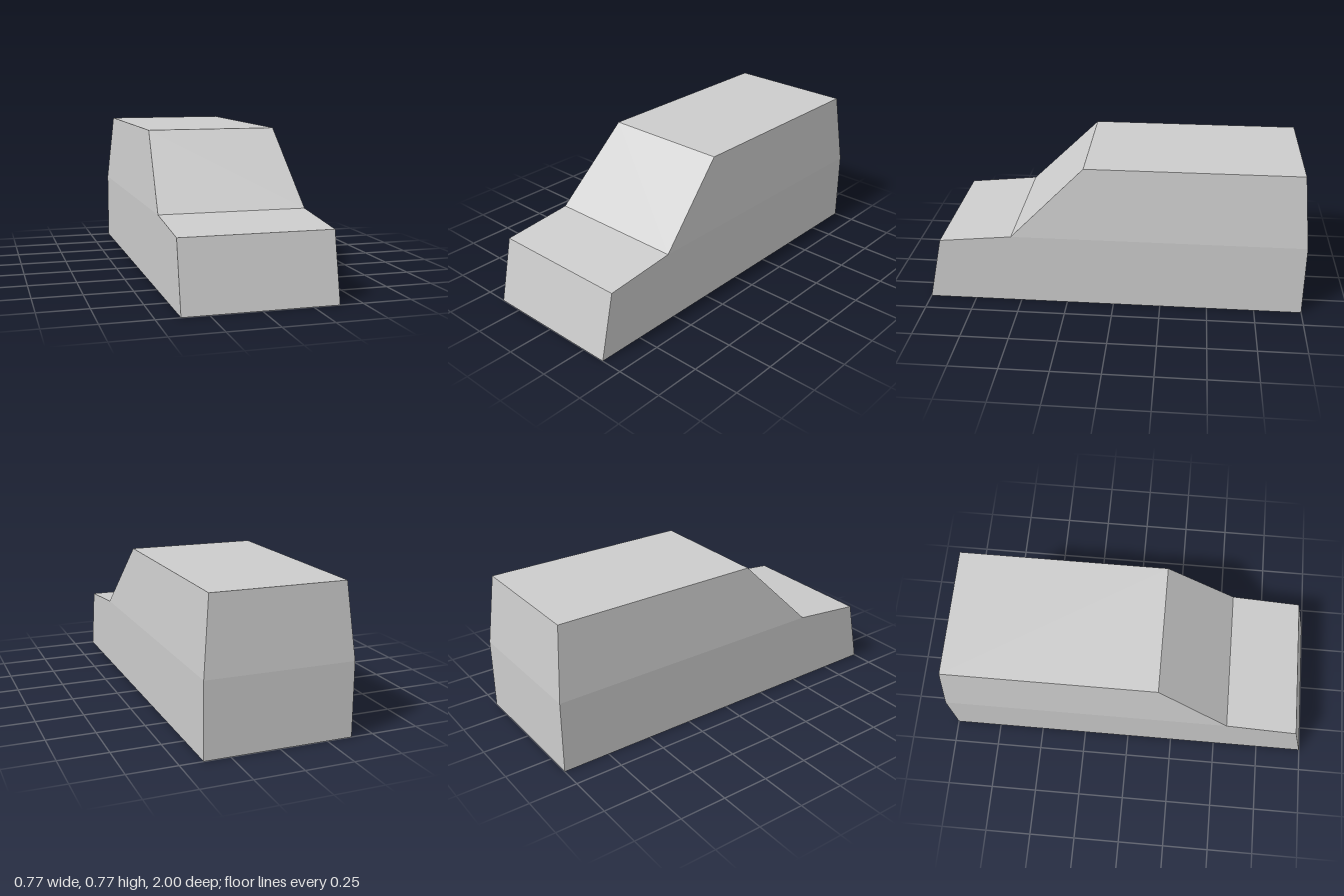
import * as THREE from 'three';

// Side profile, front bottom to rear bottom: [z, y, half width]
const PROFILE = [
  [1, 0, 0.383], [0.923, 0.346, 0.383], [0.54, 0.385, 0.383],
  [0.155, 0.77, 0.345], [-0.962, 0.77, 0.345], [-1, 0.385, 0.383], [-1, 0, 0.383],
];

const corner = (i, side) => {
  const [z, y, w] = PROFILE[i];
  return new THREE.Vector3(side * w, y, z);
};

// Flat convex panel, fanned from its first corner
function panel(name, corners, material) {
  const points = [];
  for (let i = 1; i < corners.length - 1; i++) points.push(corners[0], corners[i], corners[i + 1]);
  const geometry = new THREE.BufferGeometry().setFromPoints(points);
  geometry.computeVertexNormals();
  const mesh = new THREE.Mesh(geometry, material);
  mesh.name = name;
  return mesh;
}

export function createModel() {
  const body = new THREE.MeshStandardMaterial({ color: 0xcccccc });
  body.name = 'bodyGrey';
  const model = new THREE.Group();
  model.name = 'vanBody';

  // Panels across the width, following the profile
  const names = ['nose', 'hood', 'windscreen', 'roof', 'rearUpper', 'rearLower', 'floor'];
  names.forEach((name, i) => {
    const j = (i + 1) % PROFILE.length;
    model.add(panel(name, [corner(i, 1), corner(j, 1), corner(j, -1), corner(i, -1)], body));
  });

  // Upright lower sides and inward-leaning cabin sides
  const sides = { LowerSide: [0, 1, 2, 5, 6], CabinSide: [2, 3, 4, 5] };
  for (const [part, loop] of Object.entries(sides)) {
    model.add(panel('right' + part, loop.map((i) => corner(i, -1)), body));
    model.add(panel('left' + part, [...loop].reverse().map((i) => corner(i, 1)), body));
  }
  return model;
}
